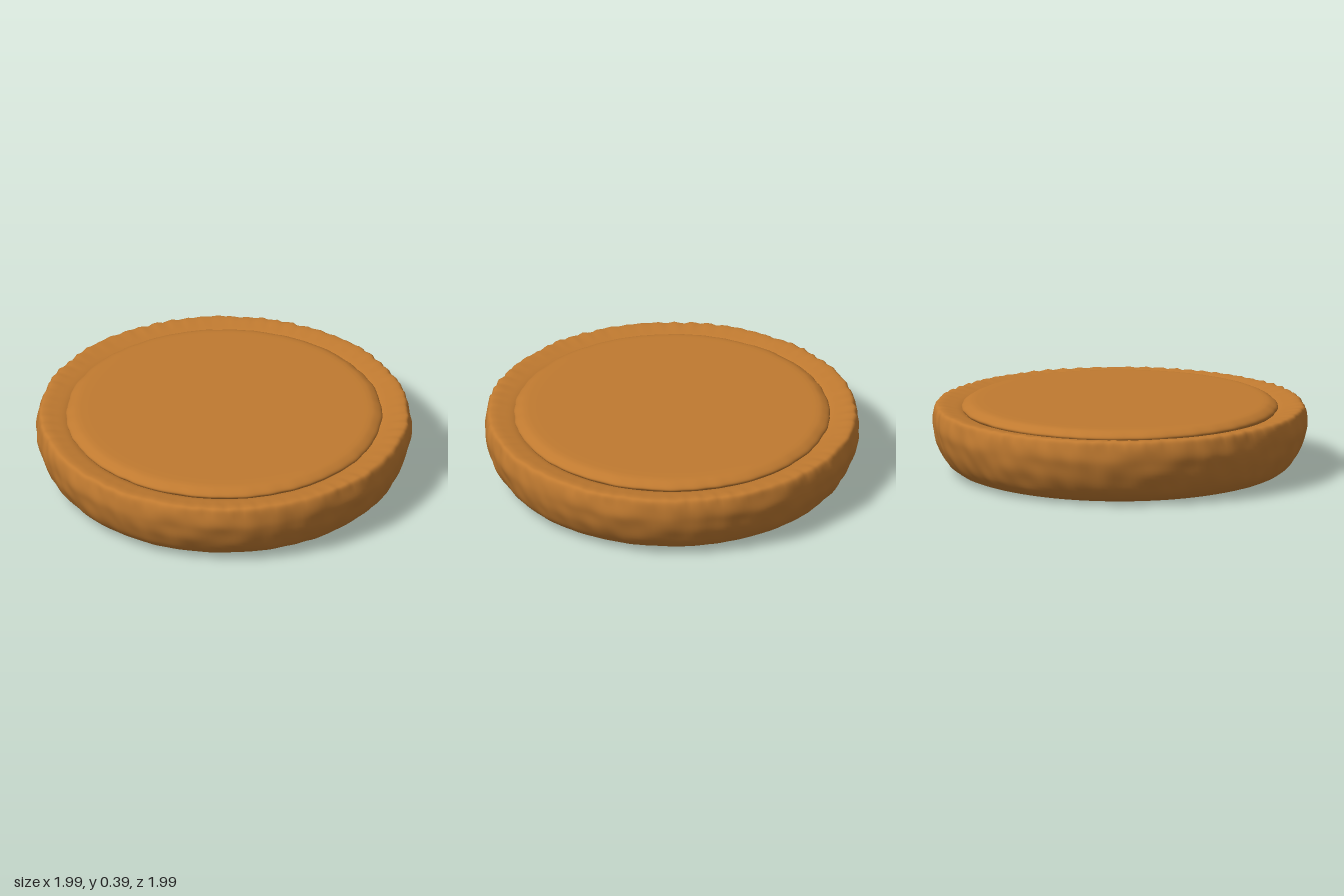
import * as THREE from 'three';
import { mergeVertices } from 'three/addons/utils/BufferGeometryUtils.js';

const SEGMENTS = 216;

// Smooth closed curve through profile points, given as [radius, height]
function profile(points, count) {
  const curve = new THREE.SplineCurve(points.map(([r, y]) => new THREE.Vector2(r, y)));
  return curve.getPoints(count);
}

// Lathe whose vertices are moved by rule(radius, angle, height) -> [radius, height]
function shapedLathe(points, rule) {
  let geometry = new THREE.LatheGeometry(points, SEGMENTS);
  geometry.deleteAttribute('uv');
  geometry.deleteAttribute('normal');
  const p = geometry.attributes.position;
  for (let i = 0; i < p.count; i++) {
    const x = p.getX(i), y = p.getY(i), z = p.getZ(i);
    const a = Math.atan2(x, z);
    const [r, h] = rule(Math.hypot(x, z), a, y);
    p.setXYZ(i, r * Math.sin(a), h, r * Math.cos(a));
  }
  geometry = mergeVertices(geometry, 1e-5);
  geometry.computeVertexNormals();
  return geometry;
}

// Irregular ripples that close on themselves around the circle
function ripple(a, y) {
  return 0.35 * Math.sin(13 * a + 9 * y + 1.3 * Math.sin(5 * a))
    + 0.3 * Math.sin(29 * a - 17 * y + 2 * Math.sin(7 * a + 8 * y))
    + 0.2 * Math.sin(47 * a + 31 * y + Math.sin(11 * a))
    + 0.15 * Math.sin(8 * a + 48 * y);
}

export function createModel() {
  const group = new THREE.Group();
  const pastry = new THREE.MeshStandardMaterial({ color: 0xc07a30 });
  pastry.name = 'baked pastry';
  pastry.side = THREE.DoubleSide;

  // Crust: flat base, bulging wall and a pinched rim running under the lid
  const crustPoints = [
    new THREE.Vector2(0, 0),
    new THREE.Vector2(0.77, 0),
    ...profile([
      [0.8, 0.002], [0.87, 0.025], [0.925, 0.075], [0.965, 0.15], [0.985, 0.22],
      [0.992, 0.27], [0.985, 0.325], [0.972, 0.355], [0.945, 0.36],
      [0.9, 0.353], [0.85, 0.342], [0.81, 0.325], [0.77, 0.32],
    ], 48),
  ];
  const crust = new THREE.Mesh(shapedLathe(crustPoints, (r, a, y) => {
    const wall = THREE.MathUtils.smoothstep(r, 0.8, 0.94);
    const rim = THREE.MathUtils.smoothstep(y, 0.3, 0.35) * THREE.MathUtils.smoothstep(r, 0.85, 0.95);
    const crimp = Math.sin(72 * a + Math.sin(5 * a)) * (0.7 + 0.3 * Math.sin(9 * a));
    return [
      r + wall * 0.008 * ripple(a, y) + rim * 0.003 * crimp,
      y + rim * 0.004 * crimp,
    ];
  }), pastry);
  crust.name = 'crust';
  group.add(crust);

  // Lid: flat disc with a soft, slightly uneven edge
  const lidPoints = [
    ...profile([
      [0.82, 0.325], [0.836, 0.343], [0.832, 0.357], [0.815, 0.37],
      [0.79, 0.381], [0.76, 0.385],
    ], 16),
    new THREE.Vector2(0.72, 0.386),
    new THREE.Vector2(0, 0.386),
  ];
  const lid = new THREE.Mesh(shapedLathe(lidPoints, (r, a, y) => {
    const edge = THREE.MathUtils.smoothstep(r, 0.73, 0.83);
    return [r + edge * 0.005 * ripple(a, 0.2), y];
  }), pastry);
  lid.name = 'lid';
  group.add(lid);

  return group;
}
